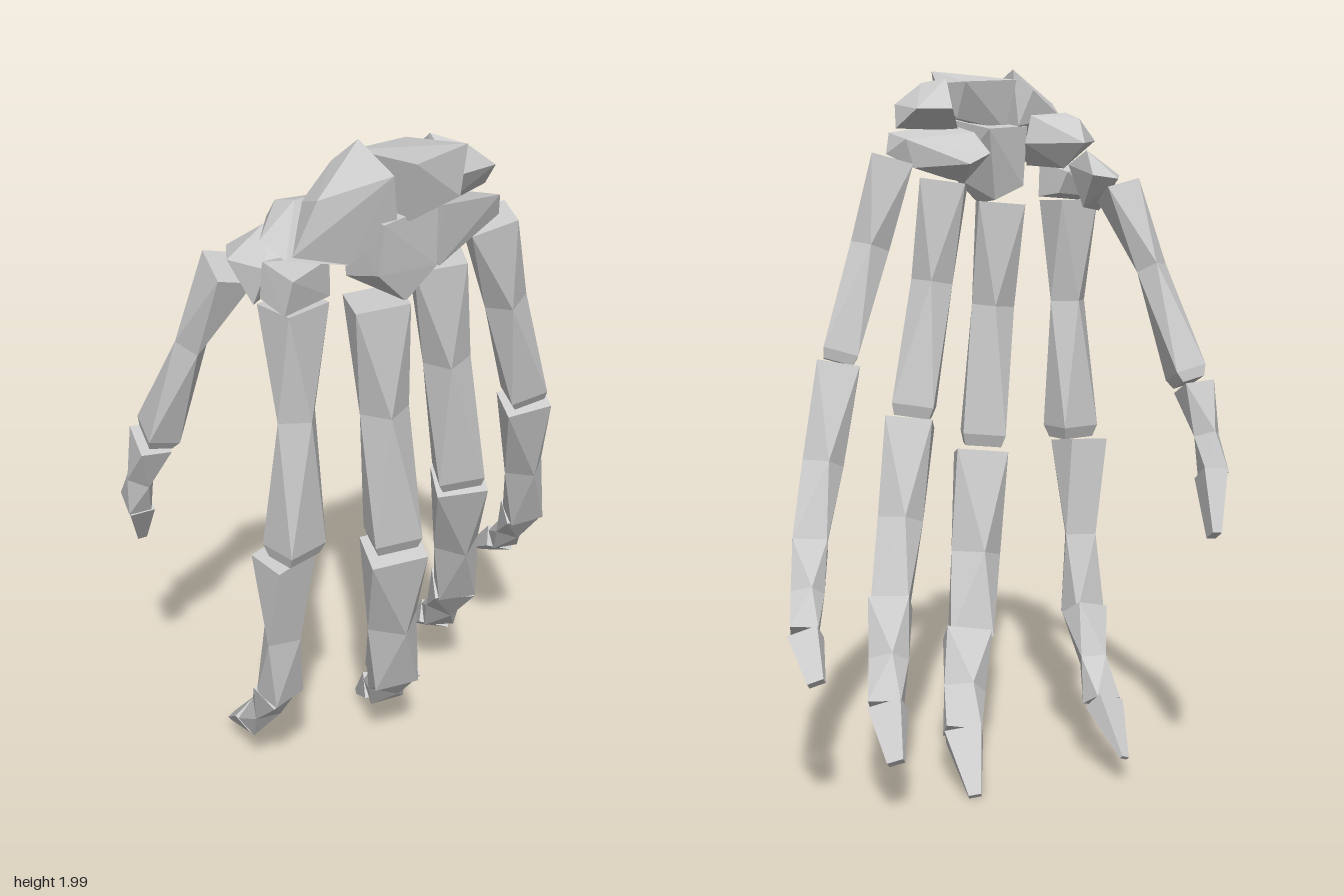
import * as THREE from 'three';
import { ConvexGeometry } from 'three/addons/geometries/ConvexGeometry.js';

const material = new THREE.MeshStandardMaterial({ color: 0xcccccc, flatShading: true });

// Four-sided faceted bone from a to b. Each section is
// [position along bone, width, depth, twist, bow away from the palm].
function boneGeometry(a, b, palm, sections) {
  const start = new THREE.Vector3(...a), end = new THREE.Vector3(...b);
  const axis = end.clone().sub(start).normalize();
  const front = new THREE.Vector3(...palm);
  front.addScaledVector(axis, -front.dot(axis)).normalize();
  const side = new THREE.Vector3().crossVectors(front, axis);
  const corners = [[1, 0.85], [-1, 0.85], [-1, -1], [1, -1]];
  const rings = sections.map(([t, w, d, twist, bow]) => corners.map(([u, v]) => {
    const c = Math.cos(twist), s = Math.sin(twist);
    return start.clone().lerp(end, t)
      .addScaledVector(side, (u * c - v * s) * w / 2)
      .addScaledVector(front, (u * s + v * c) * d / 2 - bow);
  }));
  const pos = [];
  const tri = (...pts) => pts.forEach((p) => pos.push(p.x, p.y, p.z));
  for (let i = 0; i < rings.length - 1; i++) {
    for (let j = 0; j < 4; j++) {
      const k = (j + 1) % 4;
      const [p, q, r, s] = [rings[i][j], rings[i][k], rings[i + 1][k], rings[i + 1][j]];
      if (i % 2) { tri(p, q, r); tri(p, r, s); } else { tri(p, q, s); tri(q, r, s); }
    }
  }
  const first = rings[0], last = rings[rings.length - 1];
  tri(first[0], first[2], first[1]); tri(first[0], first[3], first[2]);
  tri(last[0], last[1], last[2]); tri(last[0], last[2], last[3]);
  const geometry = new THREE.BufferGeometry();
  geometry.setAttribute('position', new THREE.Float32BufferAttribute(pos, 3));
  geometry.computeVertexNormals();
  return geometry;
}

// Section rules: w = width at the near end, e = width at the far end
const twist = Math.PI / 4;
const profiles = {
  metacarpal: (w, e) => [[0, w, w * 0.9, 0, 0], [0.42, w * 0.68, w * 0.58, twist, 0.014],
    [0.95, e, e * 0.95, 0, 0], [1, e * 0.85, e * 0.7, 0, 0]],
  phalanx: (w, e) => [[0, w, w * 0.85, 0, 0], [0.55, (w + e) * 0.4, (w + e) * 0.34, twist * 0.7, 0.006],
    [1, e, e * 0.85, 0, 0]],
  tip: (w, e) => [[0, w, w * 0.8, 0, 0], [1, e, e * 0.5, 0, 0]],
};

// Each digit: palm direction, then bones as [name, profile, start, end, widths]
const digits = {
  thumb: { palm: [0.35, 0, -1], bones: [
    ['thumbMetacarpal', 'metacarpal', [-0.005, 1.66, 0.435], [-0.235, 1.13, 0.52], 0.115, 0.1],
    ['thumbProximalBone', 'phalanx', [-0.25, 1.12, 0.525], [-0.35, 0.88, 0.52], 0.105, 0.08],
    ['thumbTip', 'tip', [-0.345, 0.89, 0.515], [-0.42, 0.735, 0.47], 0.09, 0.055]] },
  index: { palm: [-1, 0, 0.05], bones: [
    ['indexMetacarpal', 'metacarpal', [0.2, 1.63, 0.415], [0.195, 0.93, 0.425], 0.13, 0.12],
    ['indexProximalBone', 'phalanx', [0.165, 0.925, 0.435], [0.09, 0.42, 0.4], 0.13, 0.1],
    ['indexMiddleBone', 'phalanx', [0.08, 0.43, 0.4], [-0.08, 0.2, 0.35], 0.105, 0.085],
    ['indexTip', 'tip', [-0.1, 0.2, 0.345], [-0.245, 0.085, 0.31], 0.09, 0.025]] },
  middle: { palm: [-1, 0, -0.5], bones: [
    ['middleMetacarpal', 'metacarpal', [0.3, 1.62, 0.24], [0.305, 0.91, 0.18], 0.135, 0.125],
    ['middleProximalBone', 'phalanx', [0.295, 0.89, 0.17], [0.19, 0.37, 0.07], 0.15, 0.125],
    ['middleMiddleBone', 'phalanx', [0.175, 0.38, 0.05], [0.02, 0.15, -0.06], 0.13, 0.1],
    ['middleTip', 'tip', [0.005, 0.15, -0.065], [-0.13, 0.02, -0.11], 0.105, 0.035]] },
  ring: { palm: [-1, 0, -0.7], bones: [
    ['ringMetacarpal', 'metacarpal', [0.32, 1.68, 0.06], [0.315, 1.01, -0.05], 0.13, 0.12],
    ['ringProximalBone', 'phalanx', [0.295, 1.0, -0.07], [0.16, 0.52, -0.21], 0.135, 0.105],
    ['ringMiddleBone', 'phalanx', [0.145, 0.52, -0.22], [-0.01, 0.28, -0.32], 0.115, 0.09],
    ['ringTip', 'tip', [-0.02, 0.275, -0.32], [-0.14, 0.165, -0.36], 0.095, 0.045]] },
  little: { palm: [-1, 0, -0.55], bones: [
    ['littleMetacarpal', 'metacarpal', [0.335, 1.74, -0.1], [0.33, 1.18, -0.28], 0.12, 0.1],
    ['littleProximalBone', 'phalanx', [0.32, 1.17, -0.285], [0.21, 0.7, -0.435], 0.12, 0.095],
    ['littleMiddleBone', 'phalanx', [0.195, 0.7, -0.44], [0.06, 0.5, -0.525], 0.095, 0.075],
    ['littleTip', 'tip', [0.045, 0.49, -0.53], [-0.07, 0.395, -0.555], 0.085, 0.045]] },
};

// Wrist bones, each the hull of a few corners
const carpals = {
  scaphoidBody: [[0.19, 1.94, 0.28], [0.25, 2.0, 0.25], [0.4, 1.96, 0.28], [0.3, 1.91, 0.42],
    [0.2, 1.87, 0.38], [0.27, 1.78, 0.47], [0.38, 1.83, 0.25], [0.22, 1.84, 0.25], [0.32, 1.74, 0.34]],
  scaphoidBase: [[0.06, 1.79, 0.37], [0.13, 1.86, 0.4], [0.2, 1.87, 0.28], [0.2, 1.88, 0.4],
    [0.18, 1.8, 0.49], [0.26, 1.77, 0.48], [0.15, 1.72, 0.36], [0.3, 1.73, 0.33], [0.2, 1.79, 0.26]],
  lunate: [[0.23, 1.96, 0.08], [0.23, 1.97, 0.25], [0.44, 2.0, 0.09], [0.44, 1.99, 0.25],
    [0.28, 1.86, 0.08], [0.26, 1.83, 0.23], [0.44, 1.88, 0.11], [0.4, 1.84, 0.23], [0.36, 1.96, 0.06]],
  triquetrum: [[0.21, 1.88, -0.09], [0.33, 1.83, -0.09], [0.39, 1.9, -0.06], [0.4, 1.91, 0.08],
    [0.27, 1.97, 0.04], [0.15, 1.88, -0.01], [0.36, 1.83, 0.07], [0.24, 1.83, 0.06], [0.36, 1.96, 0.01]],
  capitate: [[0.2, 1.83, 0.14], [0.22, 1.84, 0.28], [0.4, 1.86, 0.14], [0.38, 1.84, 0.29],
    [0.24, 1.67, 0.28], [0.36, 1.71, 0.29], [0.36, 1.62, 0.2], [0.25, 1.63, 0.19], [0.39, 1.7, 0.13]],
  hamate: [[0.25, 1.82, 0.12], [0.4, 1.85, 0.12], [0.39, 1.82, -0.08], [0.29, 1.8, -0.08],
    [0.37, 1.76, -0.1], [0.38, 1.69, 0.11], [0.27, 1.68, 0.1], [0.28, 1.72, -0.06],
    [0.13, 1.76, 0.1], [0.14, 1.73, 0.04]],
  trapezoid: [[0.13, 1.71, 0.36], [0.15, 1.73, 0.46], [0.26, 1.74, 0.35], [0.27, 1.72, 0.47],
    [0.15, 1.64, 0.47], [0.25, 1.63, 0.48], [0.25, 1.64, 0.34], [0.16, 1.65, 0.35]],
  trapezium: [[-0.06, 1.69, 0.4], [-0.01, 1.7, 0.35], [0.05, 1.77, 0.37], [0.14, 1.73, 0.37],
    [0.14, 1.7, 0.44], [0.03, 1.7, 0.47], [0.1, 1.6, 0.45], [0.08, 1.61, 0.38]],
};

export function createModel() {
  const hand = new THREE.Group();
  hand.name = 'skeletonHand';
  const add = (parent, name, geometry) => {
    const mesh = new THREE.Mesh(geometry, material);
    mesh.name = name;
    parent.add(mesh);
  };

  // Digits
  for (const [digitName, { palm, bones }] of Object.entries(digits)) {
    const digit = new THREE.Group();
    digit.name = digitName + 'Digit';
    for (const [name, profile, a, b, w, e] of bones) {
      add(digit, name, boneGeometry(a, b, palm, profiles[profile](w, e)));
    }
    hand.add(digit);
  }

  // Wrist
  const wrist = new THREE.Group();
  wrist.name = 'wrist';
  for (const [name, corners] of Object.entries(carpals)) {
    add(wrist, name, new ConvexGeometry(corners.map((c) => new THREE.Vector3(...c))));
  }
  hand.add(wrist);
  return hand;
}
